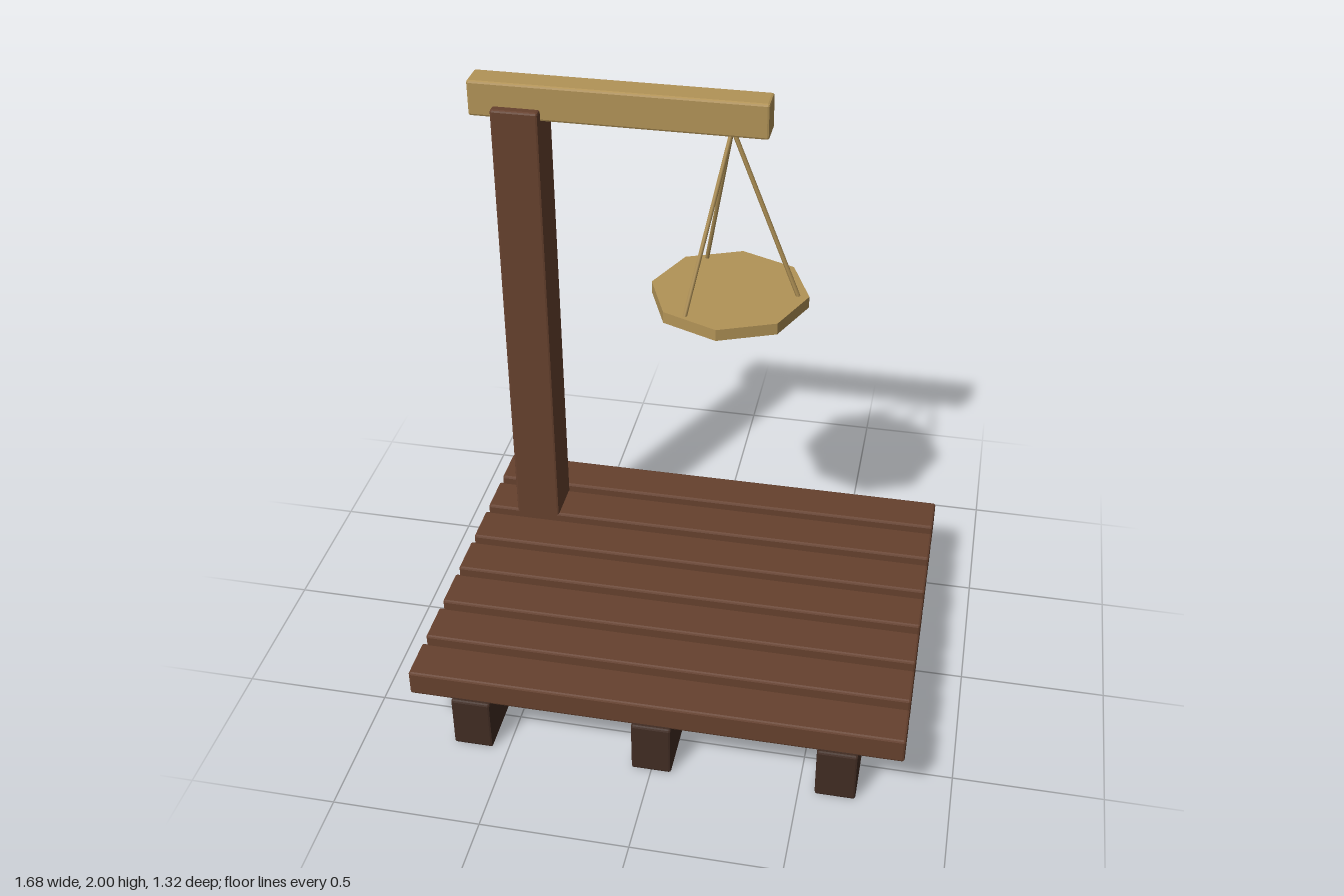
import * as THREE from 'three';
import { RoundedBoxGeometry } from 'three/addons/geometries/RoundedBoxGeometry.js';

const material = (name, color) => {
  const m = new THREE.MeshStandardMaterial({ color });
  m.name = name;
  return m;
};

export function createModel() {
  const model = new THREE.Group();
  model.name = 'hangingScale';
  const brown = material('brown wood', 0x66412e);
  const dark = material('dark wood', 0x412c23);
  const tan = material('tan wood', 0xb29357);

  const add = (name, geometry, mat) => {
    const mesh = new THREE.Mesh(geometry, mat);
    mesh.name = name;
    model.add(mesh);
    return mesh;
  };

  // Beam with flat chamfered edges, given by its lower and upper corners
  const beam = (name, lo, hi, mat) => {
    const size = hi.map((v, i) => v - lo[i]);
    const geometry = new RoundedBoxGeometry(...size, 1, 0.008);
    geometry.computeVertexNormals();
    add(name, geometry, mat).position.set(...hi.map((v, i) => (v + lo[i]) / 2));
  };

  // Platform: three bearers under seven planks
  for (const x of [-0.622, 0, 0.622]) {
    beam('bearer', [x - 0.068, 0, -0.66], [x + 0.068, 0.195, 0.66], dark);
  }
  for (let i = -3; i <= 3; i++) {
    const z = i * 0.189;
    beam('plank', [-0.838, 0.187, z - 0.077], [0.838, 0.279, z + 0.077], brown);
  }

  // Post and overhanging arm
  const z = -0.383;
  beam('post', [-0.723, 0.183, z - 0.082], [-0.56, 1.917, z + 0.082], brown);
  beam('arm', [-0.806, 1.876, z - 0.051], [0.198, 2, z + 0.051], tan);

  // Octagonal pan
  const panX = 0.07;
  const pan = add('pan', new THREE.CylinderGeometry(0.275, 0.275, 0.042, 8).toNonIndexed(), tan);
  pan.geometry.computeVertexNormals();
  pan.position.set(panX, 1.265, z);

  // Three cords from the arm to the pan
  const top = new THREE.Vector3(panX, 1.885, z);
  for (let i = 0; i < 3; i++) {
    const a = (i * Math.PI * 2) / 3;
    const end = new THREE.Vector3(panX + 0.24 * Math.cos(a), 1.275, z + 0.24 * Math.sin(a));
    const dir = top.clone().sub(end);
    const cord = add('cord', new THREE.CylinderGeometry(0.008, 0.008, dir.length(), 6), tan);
    cord.position.copy(top).add(end).multiplyScalar(0.5);
    cord.quaternion.setFromUnitVectors(new THREE.Vector3(0, 1, 0), dir.normalize());
  }

  return model;
}
